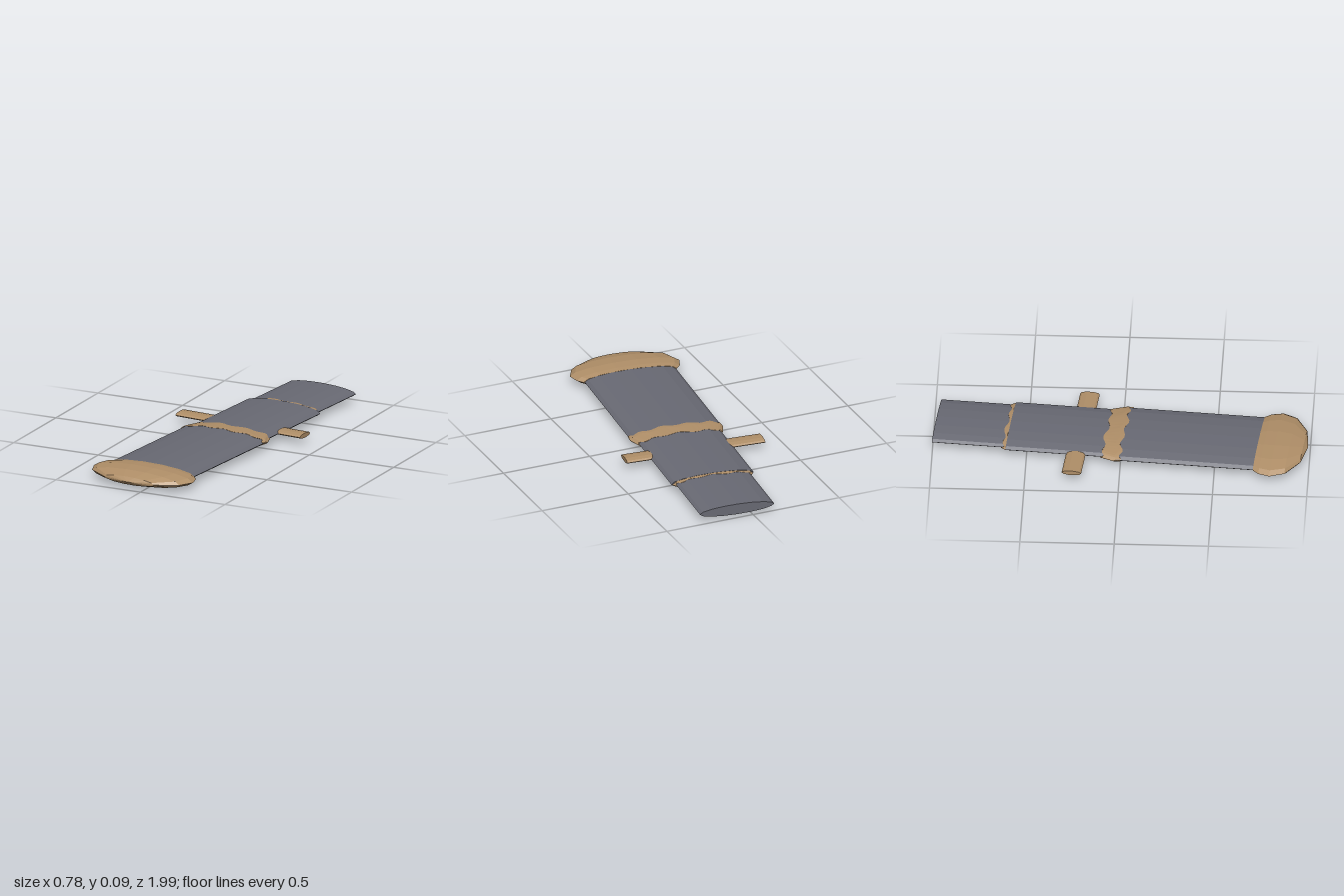
import * as THREE from 'three';

const FLAT = 0.142; // thickness of the body relative to its width
const slate = new THREE.MeshStandardMaterial({ name: 'slate', color: 0x696a74, flatShading: true });
const tan = new THREE.MeshStandardMaterial({ name: 'tan', color: 0xb08f68, flatShading: true });

// Flattened solid of revolution along z; profile is [radius, z] from back to front.
// wave ripples the z position around the circumference for the ragged collars.
function turned(name, material, profile, sides, wave = 0, ripples = 9) {
  const geo = new THREE.LatheGeometry(
    profile.map(([r, z]) => new THREE.Vector2(r, z)), sides, Math.PI / 2);
  geo.rotateX(Math.PI / 2);
  const p = geo.attributes.position;
  const middle = (profile[0][1] + profile[profile.length - 1][1]) / 2;
  if (wave) {
    for (let i = 0; i < p.count; i++) {
      const a = Math.atan2(p.getY(i), p.getX(i));
      const n = p.getZ(i) < middle ? ripples : ripples + 2;
      p.setZ(i, p.getZ(i) + wave * (Math.sin(n * a) + 0.4 * Math.sin(5 * a + 1)));
    }
  }
  geo.scale(1, FLAT, 1);
  geo.computeVertexNormals();
  const mesh = new THREE.Mesh(geo, material);
  mesh.name = name;
  return mesh;
}

// Closed straight section of the body.
const section = (name, r, z0, z1) =>
  turned(name, slate, [[0, z0], [r, z0], [r, z1], [0, z1]], 16);

export function createModel() {
  const model = new THREE.Group();
  model.name = 'flattenedHandle';
  const body = new THREE.Group();
  body.name = 'body';
  body.rotation.y = -0.087;
  body.position.y = 0.045;
  model.add(body);

  // Three stepped sections, widening to the front
  body.add(
    section('backSection', 0.208, -0.989, -0.57),
    section('middleSection', 0.231, -0.593, 0.0),
    section('frontSection', 0.256, 0.0, 0.76));

  // Ragged collars at the two steps
  body.add(
    turned('backCollar', tan,
      [[0.2, -0.61], [0.211, -0.61], [0.226, -0.588], [0.2, -0.58]], 56, 0.007, 9),
    turned('middleCollar', tan,
      [[0.222, -0.077], [0.234, -0.077], [0.261, -0.005], [0.259, 0.018], [0.245, 0.018]], 56, 0.009, 9));

  // Rounded, faceted front cap
  body.add(turned('frontCap', tan,
    [[0.24, 0.732], [0.262, 0.732], [0.29, 0.765], [0.307, 0.825], [0.271, 0.902], [0.153, 0.971], [0, 0.994]], 14));

  // Crossbar passing through the middle section
  const bar = new THREE.CylinderGeometry(0.052, 0.052, 0.774, 10);
  bar.rotateZ(Math.PI / 2);
  bar.scale(1, 0.25, 1);
  const crossbar = new THREE.Mesh(bar, tan);
  crossbar.name = 'crossbar';
  crossbar.position.set(-0.022, 0, -0.218);
  body.add(crossbar);

  return model;
}
